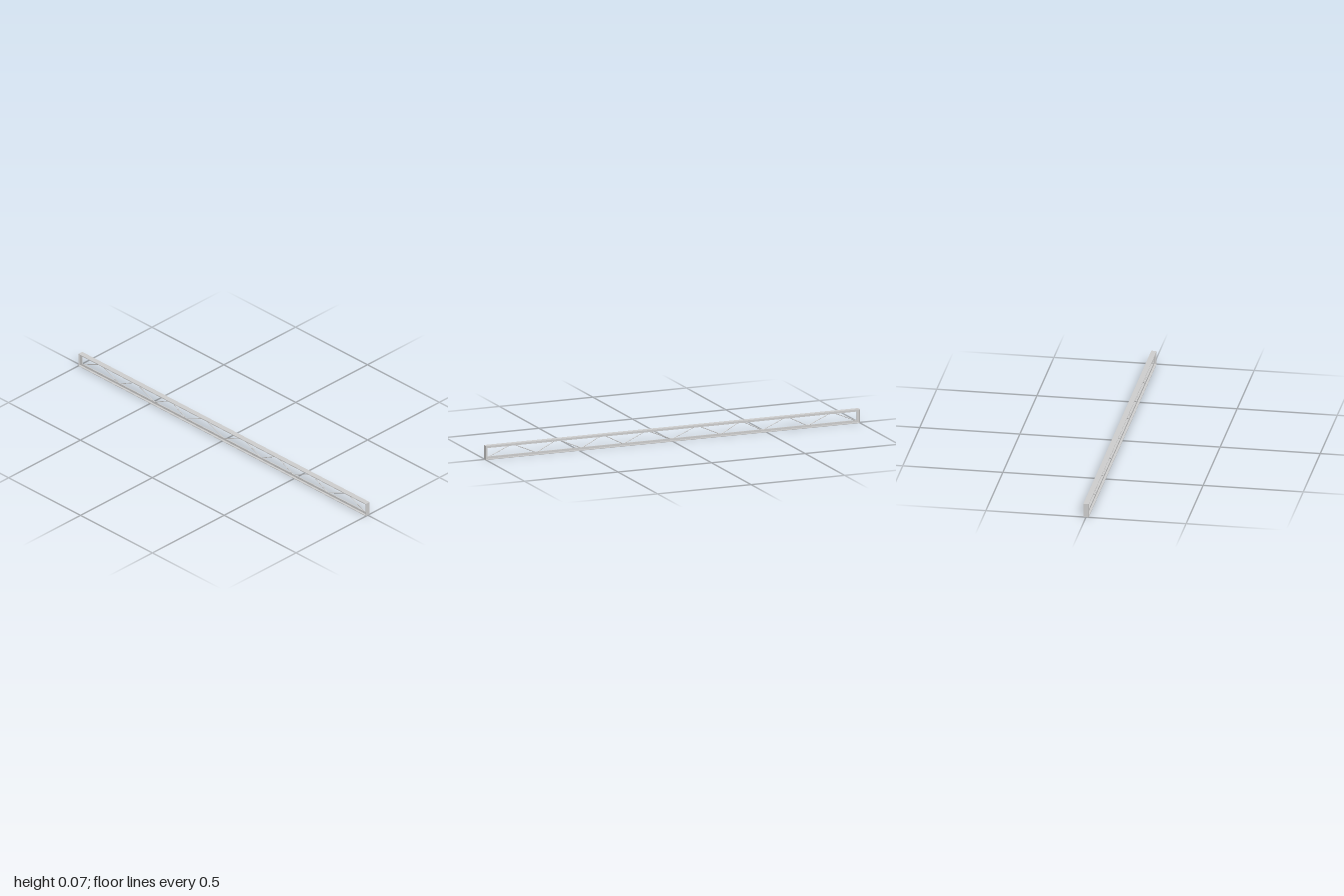
import * as THREE from 'three';

const LENGTH = 2, HEIGHT = 0.07, HALF_DEPTH = 0.0135;
const LEG = 0.0135, THICK = 0.0025, ROD = 0.002;

const steel = new THREE.MeshStandardMaterial({ color: 0xcccccc });

function rectangle(target, inset) {
  const x = LENGTH / 2 - inset, b = inset, t = HEIGHT - inset;
  target.moveTo(-x, b);
  target.lineTo(x, b);
  target.lineTo(x, t);
  target.lineTo(-x, t);
  target.closePath();
  return target;
}

// Rectangular ring running around the whole truss, extruded along z
function ring(outerInset, innerInset, depth, name) {
  const shape = rectangle(new THREE.Shape(), outerInset);
  shape.holes.push(rectangle(new THREE.Path(), innerInset));
  const geometry = new THREE.ExtrudeGeometry(shape, { depth, bevelEnabled: false });
  const mesh = new THREE.Mesh(geometry, steel);
  mesh.name = name;
  return mesh;
}

// L-section frame: wide outer flange plus an upright leg on the centre plane
function angleFrame(name) {
  const frame = new THREE.Group();
  frame.name = name;
  frame.add(ring(0, THICK, HALF_DEPTH, 'flange'));
  frame.add(ring(THICK, LEG, THICK, 'leg'));
  return frame;
}

function rod(a, b) {
  const dir = b.clone().sub(a);
  const mesh = new THREE.Mesh(new THREE.CylinderGeometry(ROD, ROD, dir.length(), 8), steel);
  mesh.position.copy(a).add(b).multiplyScalar(0.5);
  mesh.quaternion.setFromUnitVectors(new THREE.Vector3(0, 1, 0), dir.normalize());
  mesh.name = 'webRod';
  return mesh;
}

export function createModel() {
  const truss = new THREE.Group();
  truss.name = 'truss';

  // Two angle frames back to back
  const front = angleFrame('frontAngleFrame');
  const back = angleFrame('backAngleFrame');
  back.rotation.y = Math.PI;
  truss.add(front, back);

  // Zigzag web, one bent bar with short flats at the bends
  const web = new THREE.Group();
  web.name = 'zigzagWeb';
  const half = [0, 0.135, 0.26, 0.37, 0.483, 0.613, 0.725, 0.855, 0.985];
  const stations = [...half.slice(1).map((x) => -x).reverse(), ...half];
  const points = [];
  stations.forEach((x, i) => {
    const top = i % 2 === 1;
    const flat = top ? 0.012 : 0.004;
    const y = top ? 0.0605 : 0.0115;
    if (i > 0) points.push(new THREE.Vector3(x - flat, y, 0));
    if (i < stations.length - 1) points.push(new THREE.Vector3(x + flat, y, 0));
  });
  for (let i = 1; i < points.length; i++) web.add(rod(points[i - 1], points[i]));
  truss.add(web);

  return truss;
}
